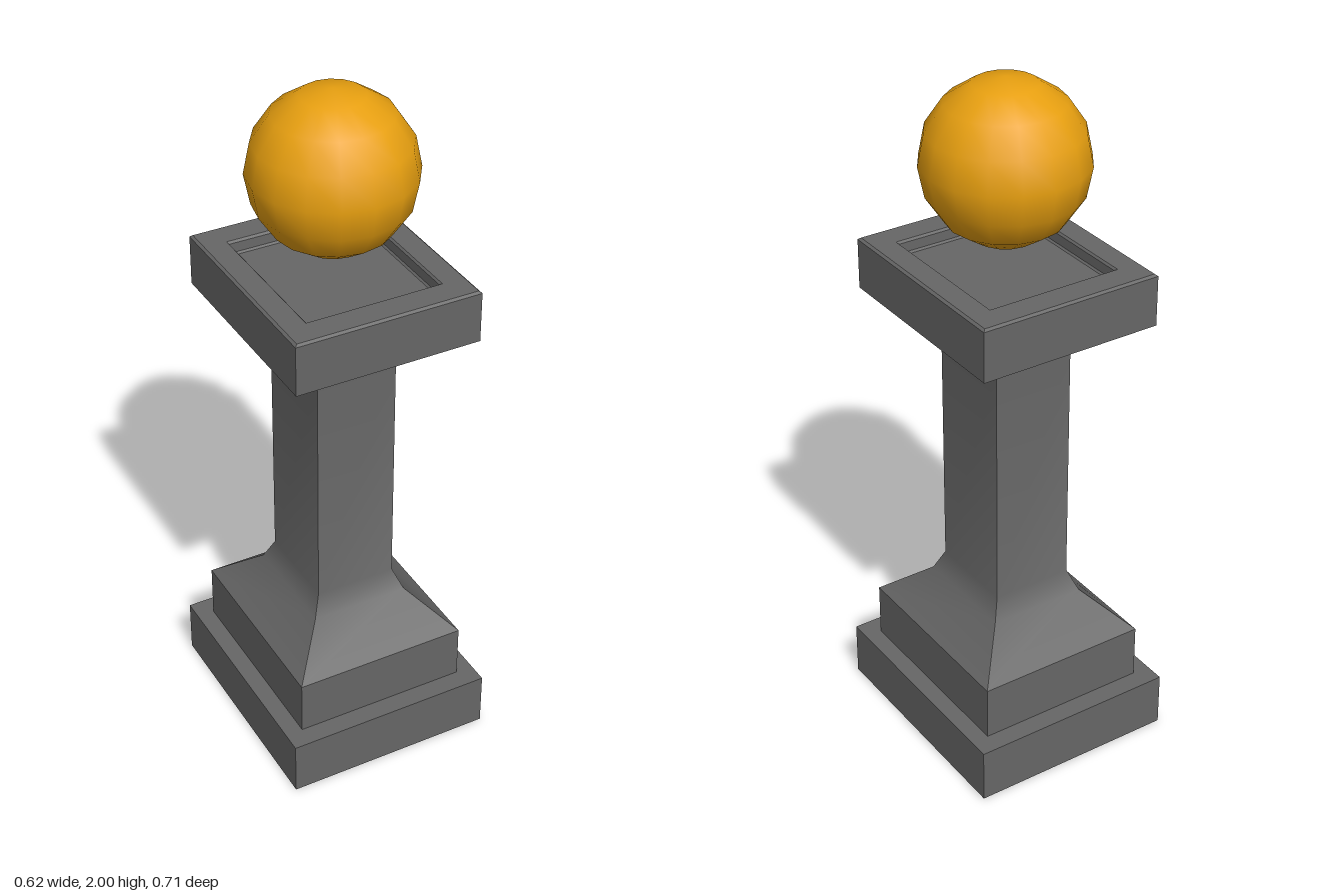
import * as THREE from 'three';
import { toCreasedNormals } from 'three/addons/utils/BufferGeometryUtils.js';

// Stacks rectangular loops [halfWidth, halfDepth, y] into a closed solid.
function rectLoft(loops, crease) {
  const pos = [];
  const idx = [];
  for (const [w, d, y] of loops) pos.push(-w, y, d, w, y, d, w, y, -d, -w, y, -d);
  for (let i = 0; i < loops.length - 1; i++) {
    for (let k = 0; k < 4; k++) {
      const a = i * 4 + k;
      const b = i * 4 + (k + 1) % 4;
      idx.push(a, b, b + 4, a, b + 4, a + 4);
    }
  }
  const t = (loops.length - 1) * 4;
  idx.push(0, 2, 1, 0, 3, 2, t, t + 1, t + 2, t, t + 2, t + 3);
  const g = new THREE.BufferGeometry();
  g.setAttribute('position', new THREE.Float32BufferAttribute(pos, 3));
  g.setIndex(idx);
  return toCreasedNormals(g, crease);
}

export function createModel() {
  const stone = new THREE.MeshStandardMaterial({ color: 0x666666 });
  stone.name = 'grey stone';
  const gold = new THREE.MeshStandardMaterial({ color: 0xe8a010 });
  gold.name = 'golden orange';

  const group = new THREE.Group();
  group.name = 'pedestalWithOrb';

  // Pedestal: stepped base, flared shaft, capital with a recessed top
  const profile = [
    [0.31, 0.354, 0], [0.31, 0.354, 0.163],
    [0.258, 0.295, 0.163], [0.258, 0.295, 0.325],
    [0.145, 0.165, 0.435], [0.12, 0.137, 0.497],
    [0.12, 0.137, 1.232], [0.16, 0.183, 1.29],
    [0.273, 0.312, 1.338], [0.273, 0.312, 1.485],
    [0.266, 0.305, 1.491], [0.201, 0.23, 1.491],
    [0.196, 0.224, 1.485], [0.195, 0.223, 1.457],
    [0.19, 0.217, 1.452],
  ];
  const pedestal = new THREE.Mesh(rectLoft(profile, 0.49), stone);
  pedestal.name = 'pedestal';
  group.add(pedestal);

  // Orb floating above the capital
  const orb = new THREE.Mesh(new THREE.SphereGeometry(0.232, 16, 8), gold);
  orb.name = 'orb';
  orb.position.y = 1.768;
  group.add(orb);

  return group;
}
